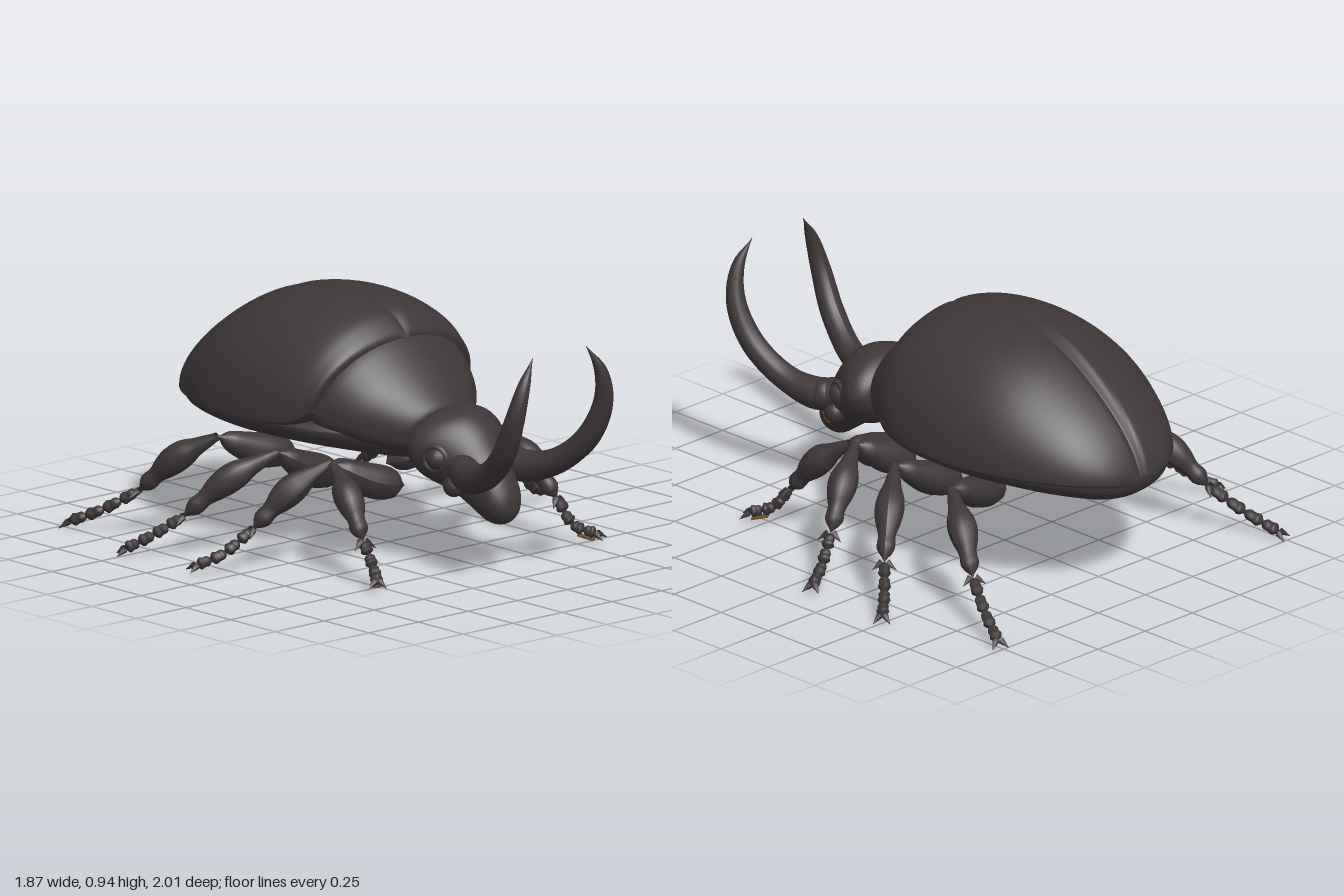
import * as THREE from 'three';

const V = (x, y, z) => new THREE.Vector3(x, y, z);
const shellMat = new THREE.MeshStandardMaterial({ color: 0x3d3637, side: THREE.DoubleSide });
shellMat.name = 'charcoal shell';
const amberMat = new THREE.MeshStandardMaterial({ color: 0x72532a });
amberMat.name = 'amber fleck';

function add(parent, geo, name, mat = shellMat) {
  const m = new THREE.Mesh(geo, mat);
  m.name = name;
  parent.add(m);
  return m;
}

const cubic = (a, b, c, d, t) =>
  b + 0.5 * t * (c - a + t * (2 * a - 5 * b + 4 * c - d + t * (3 * (b - c) + d - a)));

// Skin over rings [zTop, zMid, top, mid, bottom, halfWidth], listed front to back.
function loft(rings, { from = -Math.PI, to = Math.PI, cols = 48, side = 1, bias = 1, groove = 0, full = 1, cap = true } = {}) {
  const rows = [], steps = 4, last = rings.length - 1;
  for (let i = 0; i <= last * steps; i++) {
    const k = Math.min(Math.floor(i / steps), last - 1), t = i / steps - k;
    const r = (n) => rings[Math.min(Math.max(n, 0), last)];
    rows.push(rings[0].map((_, c) => cubic(r(k - 1)[c], r(k)[c], r(k + 1)[c], r(k + 2)[c], t)));
  }
  if (cap) {
    const point = (r) => [r[1], r[1], r[3], r[3], r[3], 0];
    rows.unshift(point(rows[0]));
    rows.push(point(rows[rows.length - 1]));
  }
  const pos = [], idx = [];
  rows.forEach(([zTop, zMid, top, mid, bot, w], i) => {
    for (let j = 0; j <= cols; j++) {
      const a = from + (to - from) * Math.pow(j / cols, bias), c = Math.cos(a), s = Math.sin(a);
      const x = w * Math.sign(s) * Math.abs(s) ** full;
      const dip = groove * Math.exp(-((x / 0.016) ** 2));
      const y = mid + c * (c > 0 ? top - mid : mid - bot) - dip;
      pos.push(side * x, y, zMid + Math.max(c, 0) * (zTop - zMid) + dip * 0.6);
      if (i && j) {
        const d = i * (cols + 1) + j, b = d - cols - 1;
        if (side > 0) idx.push(b - 1, b, d - 1, b, d, d - 1);
        else idx.push(b - 1, d - 1, b, b, d - 1, d);
      }
    }
  });
  const g = new THREE.BufferGeometry();
  g.setAttribute('position', new THREE.Float32BufferAttribute(pos, 3));
  g.setIndex(idx);
  g.computeVertexNormals();
  return g;
}

// Tube whose radius follows a list of values along its path
function limb(points, radii, segs = 16, sides = 12) {
  const curve = new THREE.CatmullRomCurve3(points);
  const g = new THREE.TubeGeometry(curve, segs, 1, sides), p = g.attributes.position, v = V(0, 0, 0);
  const n = radii.length - 1, r = (k) => radii[Math.min(Math.max(k, 0), n)];
  for (let i = 0; i <= segs; i++) {
    const c = curve.getPointAt(i / segs), s = (i / segs) * n, k = Math.min(Math.floor(s), n - 1);
    const rad = Math.max(0.001, cubic(r(k - 1), r(k), r(k + 1), r(k + 2), s - k));
    for (let j = 0; j <= sides; j++) {
      const q = i * (sides + 1) + j;
      v.fromBufferAttribute(p, q).sub(c).multiplyScalar(rad).add(c);
      p.setXYZ(q, v.x, v.y, v.z);
    }
  }
  g.computeVertexNormals();
  return g;
}

function makeLeg(name, s, ...joints) {
  const leg = new THREE.Group();
  leg.name = name;
  const [h, k, a, heel, f] = joints.map(([x, y, z]) => V(s * x, y, z));
  const mix = (p, q, t, up) => p.clone().lerp(q, t).add(V(0, up, 0));

  // Thick upper leg, then a swollen shin
  add(leg, limb([h, mix(h, k, 0.5, -0.02), k], [0.001, 0.052, 0.065, 0.066, 0.06, 0.05, 0.036, 0.001], 20), 'thigh');
  add(leg, limb([k, mix(k, a, 0.5, 0.025), a], [0.016, 0.026, 0.036, 0.052, 0.056, 0.048, 0.033, 0.034, 0.001], 22), 'shin');

  // Spikes around a point, aimed along the foot
  const spike = (label, base, dir, c, out, forward) => {
    const across = V(0, 1, 0).cross(dir).normalize();
    const tip = base.clone().addScaledVector(dir, forward).addScaledVector(across, c * out).add(V(0, -0.01, 0));
    add(leg, limb([base.clone().addScaledVector(across, c * 0.01), tip], [0.014, 0.001], 3, 6), label);
  };
  const start = heel.clone().sub(a).normalize(), end = f.clone().sub(heel).normalize();

  // Bent foot of overlapping joints, with spurs at the shin and claws at the toe
  const path = new THREE.CatmullRomCurve3([a, heel, f]);
  for (let i = 0; i < 4; i++) {
    const p = [-0.05, 0.5, 1.15].map((t) => path.getPointAt(THREE.MathUtils.clamp((i + t) / 4, 0, 1)));
    add(leg, limb(p, [0.001, 0.02, 0.02, 0.024, 0.001], 10, 8), 'footJoint');
  }
  for (const c of [-1, 1]) {
    spike('spur', a, start, c, 0.046, 0.025);
    spike('claw', f, end, c, 0.032, 0.032);
  }
  return leg;
}

export function createModel() {
  const beetle = new THREE.Group();
  beetle.name = 'beetle';

  // Wing cases, one per side, meeting in a grooved seam
  const wing = [
    [0.09, 0, 0.79, 0.57, 0.53, 0.35],
    [0.095, 0, 0.825, 0.57, 0.53, 0.4],
    [0.06, -0.04, 0.868, 0.54, 0.5, 0.428],
    [0, -0.1, 0.908, 0.52, 0.48, 0.453],
    [-0.12, -0.2, 0.938, 0.51, 0.47, 0.472],
    [-0.28, -0.32, 0.946, 0.505, 0.465, 0.476],
    [-0.45, -0.45, 0.923, 0.5, 0.46, 0.464],
    [-0.6, -0.6, 0.868, 0.5, 0.455, 0.428],
    [-0.75, -0.75, 0.775, 0.495, 0.455, 0.36],
    [-0.86, -0.86, 0.685, 0.49, 0.45, 0.285],
    [-0.93, -0.93, 0.605, 0.485, 0.445, 0.208],
    [-0.97, -0.97, 0.535, 0.48, 0.445, 0.13],
    [-0.985, -0.985, 0.49, 0.475, 0.45, 0.05],
  ];
  for (const side of [1, -1])
    add(beetle, loft(wing, { from: 0, to: 2.3, cols: 30, side, bias: 1.4, groove: 0.022, full: 0.94, cap: false }),
      side > 0 ? 'leftWingCase' : 'rightWingCase');

  // Belly
  add(beetle, loft([
    [0.28, 0.28, 0.48, 0.45, 0.38, 0.12],
    [0.15, 0.15, 0.52, 0.48, 0.37, 0.27],
    [0, 0, 0.56, 0.49, 0.375, 0.38],
    [-0.2, -0.2, 0.56, 0.5, 0.375, 0.445],
    [-0.45, -0.45, 0.56, 0.5, 0.37, 0.44],
    [-0.7, -0.7, 0.54, 0.49, 0.37, 0.36],
    [-0.85, -0.85, 0.53, 0.48, 0.374, 0.27],
    [-0.92, -0.92, 0.5, 0.47, 0.385, 0.2],
    [-0.955, -0.955, 0.48, 0.465, 0.41, 0.14],
    [-0.972, -0.972, 0.475, 0.465, 0.445, 0.06],
  ]), 'belly');

  // Domed neck shield
  add(beetle, loft([
    [0.325, 0.29, 0.57, 0.48, 0.42, 0.14],
    [0.315, 0.28, 0.595, 0.48, 0.4, 0.17],
    [0.27, 0.22, 0.645, 0.5, 0.39, 0.235],
    [0.2, 0.14, 0.722, 0.52, 0.4, 0.31],
    [0.13, 0.04, 0.79, 0.54, 0.41, 0.362],
    [0.1, -0.02, 0.815, 0.55, 0.42, 0.375],
  ], { full: 0.95 }), 'neckShield');

  // Head sloping down to a blunt snout
  const head = [
    [0.69, 0.29, 0.24, 0.03],
    [0.678, 0.325, 0.21, 0.055],
    [0.65, 0.38, 0.19, 0.08],
    [0.6, 0.445, 0.188, 0.1],
    [0.54, 0.53, 0.225, 0.13],
    [0.48, 0.582, 0.265, 0.165],
    [0.42, 0.6, 0.29, 0.2],
    [0.36, 0.598, 0.31, 0.215],
    [0.31, 0.565, 0.35, 0.19],
    [0.285, 0.52, 0.39, 0.13],
  ].map(([z, top, bot, w]) => [z, z, top, (top + bot) / 2, bot, w]);
  add(beetle, loft(head), 'head');

  // Each leg: hip, knee, ankle, heel, toe
  const legs = [
    ['frontLeg', [0.12, 0.28, 0.22], [0.42, 0.4, 0.15], [0.49, 0.16, 0.4], [0.505, 0.07, 0.475], [0.555, 0.042, 0.55]],
    ['secondLeg', [0.12, 0.27, 0.1], [0.41, 0.4, 0.13], [0.68, 0.16, -0.01], [0.785, 0.07, -0.065], [0.875, 0.035, -0.11]],
    ['thirdLeg', [0.12, 0.255, -0.15], [0.45, 0.4, -0.12], [0.73, 0.155, -0.345], [0.82, 0.075, -0.435], [0.89, 0.03, -0.495]],
    ['rearLeg', [0.13, 0.305, -0.37], [0.47, 0.405, -0.44], [0.625, 0.17, -0.71], [0.69, 0.085, -0.84], [0.745, 0.025, -0.965]],
  ];
  for (const s of [1, -1]) {
    // Curved horns, rising and hooking inward at the tip
    add(beetle, limb([V(s * 0.1, 0.4, 0.52), V(s * 0.14, 0.385, 0.61), V(s * 0.175, 0.425, 0.75), V(s * 0.212, 0.535, 0.88),
      V(s * 0.224, 0.68, 0.953), V(s * 0.195, 0.81, 0.972), V(s * 0.135, 0.912, 0.957)],
    [0.06, 0.062, 0.052, 0.048, 0.046, 0.042, 0.035, 0.023, 0.001], 36, 16), 'horn');
    add(beetle, new THREE.SphereGeometry(0.062, 16, 12), 'hornBase').position.set(s * 0.13, 0.39, 0.575);

    // Eye in a raised socket, with a cheek knob below
    add(beetle, new THREE.SphereGeometry(0.045, 16, 12), 'eye').position.set(s * 0.165, 0.435, 0.455);
    const socket = add(beetle, new THREE.TorusGeometry(0.045, 0.014, 8, 20), 'eyeSocket');
    socket.position.set(s * 0.175, 0.435, 0.455);
    socket.rotation.y = s * 1.2;
    add(beetle, new THREE.SphereGeometry(0.042, 16, 12), 'cheek').position.set(s * 0.135, 0.335, 0.515);

    for (const [name, ...p] of legs)
      beetle.add(makeLeg((s > 0 ? 'left ' : 'right ') + name, s, ...p));

    // Amber pad under each front foot
    const pad = add(beetle, new THREE.BoxGeometry(0.03, 0.008, 0.065), 'solePad', amberMat);
    pad.position.set(s * 0.532, 0.026, 0.515);
    pad.rotation.set(0.25, s * 0.58, 0, 'YXZ');
  }

  // Small amber fleck on the cheek
  const fleck = add(beetle, new THREE.BoxGeometry(0.009, 0.03, 0.042), 'cheekFleck', amberMat);
  fleck.position.set(0.099, 0.278, 0.598);
  fleck.rotation.set(0, -0.35, -0.2);
  return beetle;
}
